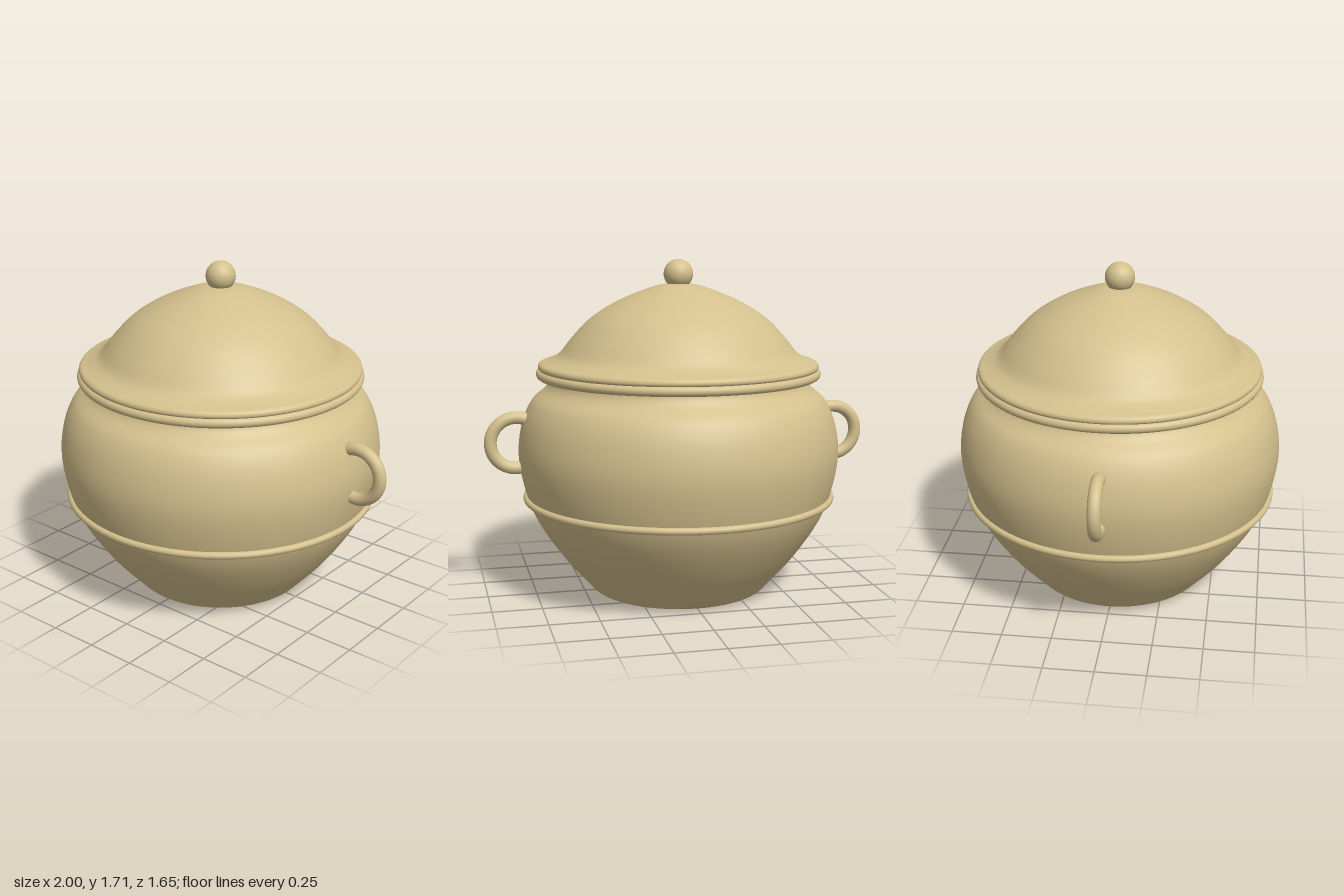
import * as THREE from 'three';

const clay = new THREE.MeshStandardMaterial({ color: 0xd4c08d });
clay.name = 'sandy clay';

const v = ([x, y]) => new THREE.Vector2(x, y);

// Smooth curve through a few [radius, height] points
const smooth = (points, n) => new THREE.SplineCurve(points.map(v)).getPoints(n);

function addMesh(parent, name, geometry) {
  const mesh = new THREE.Mesh(geometry, clay);
  mesh.name = name;
  parent.add(mesh);
  return mesh;
}

// Rounded lip in profile, from the lower to the upper angle
function lip(radius, y, r, n = 10) {
  return Array.from({ length: n + 1 }, (_, i) => {
    const a = -Math.PI / 2 + (Math.PI * i) / n;
    return new THREE.Vector2(radius + r * Math.cos(a), y + r * Math.sin(a));
  });
}

export function createModel() {
  const pot = new THREE.Group();
  pot.name = 'lidded pot';

  // Bellied body with a flat base and a short neck
  const bodyProfile = [
    v([0, 0.004]), v([0.2, 0.004]), v([0.4, 0.004]),
    ...smooth([[0.43, 0.007], [0.453, 0.02], [0.485, 0.055], [0.61, 0.2], [0.73, 0.38],
      [0.79, 0.53], [0.824, 0.72], [0.805, 0.88], [0.755, 0.995],
      [0.685, 1.06], [0.66, 1.1], [0.655, 1.15]], 60),
  ];
  addMesh(pot, 'body', new THREE.LatheGeometry(bodyProfile, 96));

  // Raised band around the belly
  const band = addMesh(pot, 'band', new THREE.TorusGeometry(0.787, 0.018, 12, 96));
  band.rotation.x = Math.PI / 2;
  band.position.y = 0.498;

  // Lid: lower rim, upper rim, then the bell-shaped dome
  const rimProfile = [v([0.62, 1.112]), v([0.66, 1.112]), ...lip(0.704, 1.136, 0.024), v([0.62, 1.16])];
  addMesh(pot, 'lidRim', new THREE.LatheGeometry(rimProfile, 96));

  const domeProfile = smooth([[0.66, 1.15], [0.7, 1.153], [0.717, 1.168], [0.708, 1.19],
    [0.665, 1.205], [0.61, 1.235], [0.55, 1.31], [0.47, 1.395], [0.39, 1.455],
    [0.28, 1.515], [0.13, 1.573], [0.06, 1.587], [0, 1.59]], 64);
  domeProfile[domeProfile.length - 1].x = 0;
  addMesh(pot, 'lidDome', new THREE.LatheGeometry(domeProfile, 96));

  // Ball knob
  addMesh(pot, 'knob', new THREE.SphereGeometry(0.075, 32, 24)).position.y = 1.637;

  // Ring handles with capped ends, one on each side
  const ring = 0.129, tube = 0.032, half = 1.95;
  for (const [name, turn] of [['leftHandle', 0], ['rightHandle', Math.PI]]) {
    const handle = new THREE.Group();
    handle.name = name;
    const arc = addMesh(handle, name + 'Arc', new THREE.TorusGeometry(ring, tube, 16, 40, 2 * half));
    arc.rotation.z = -half;
    arc.position.set(0.839, 0.8, 0);
    for (const end of [-1, 1]) {
      const cap = addMesh(handle, name + 'Cap', new THREE.CircleGeometry(tube, 16));
      const a = end * half;
      cap.position.set(0.839 + ring * Math.cos(a), 0.8 + ring * Math.sin(a), 0);
      cap.lookAt(cap.position.x - end * Math.sin(a), cap.position.y + end * Math.cos(a), 0);
    }
    handle.rotation.y = turn;
    pot.add(handle);
  }

  return pot;
}
